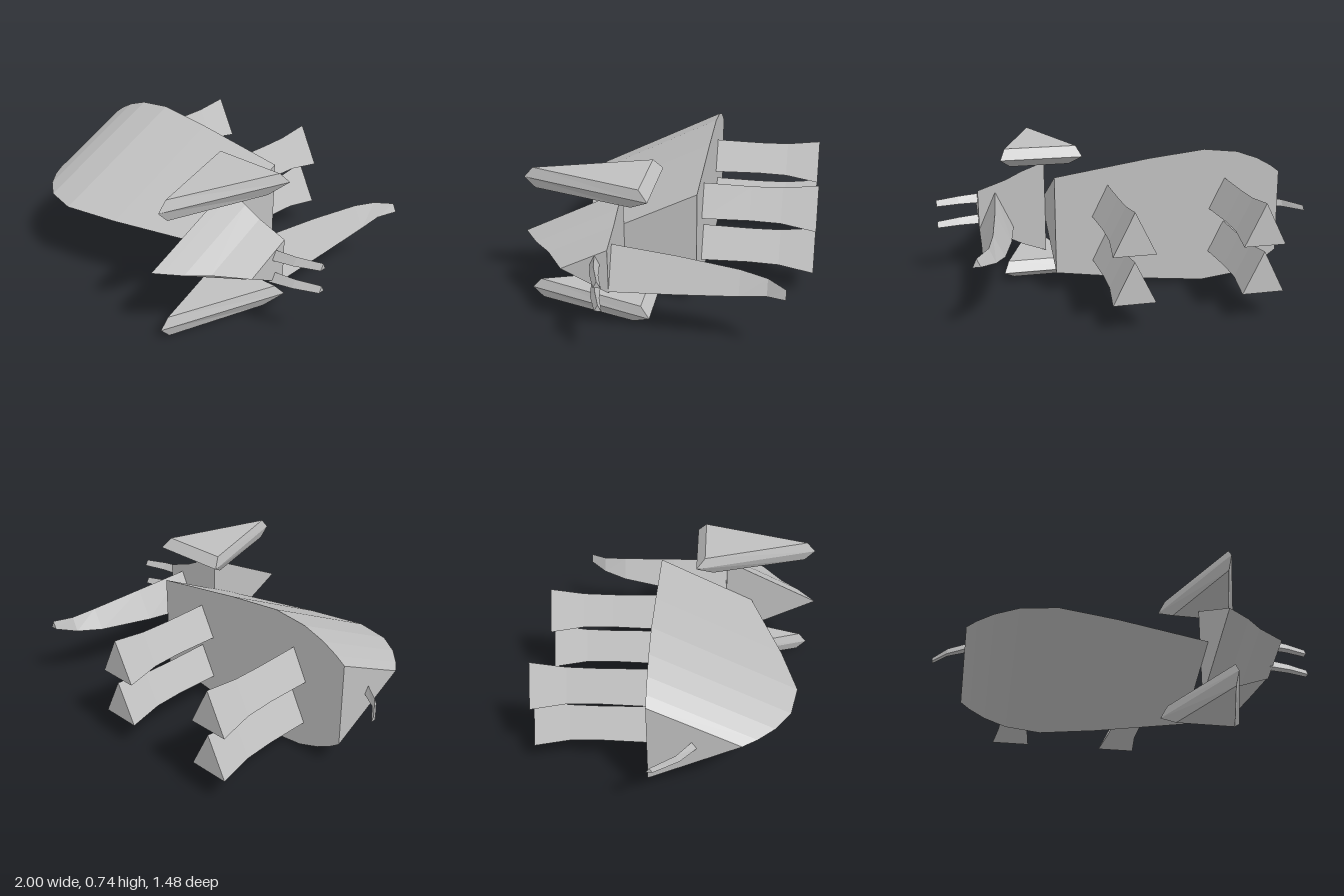
import * as THREE from 'three';

const MID = 0.374; // height of the symmetry plane

// Joins a row of triangular sections into a closed, flat-faced solid.
function loft(sections) {
  const pos = [];
  const tri = (a, b, c) => pos.push([a, b, c]);
  for (let i = 0; i < sections.length - 1; i++) {
    const p = sections[i], q = sections[i + 1];
    for (let j = 0; j < 3; j++) {
      const k = (j + 1) % 3;
      tri(p[j], p[k], q[k]);
      tri(p[j], q[k], q[j]);
    }
  }
  const first = sections[0], last = sections[sections.length - 1];
  tri(first[2], first[1], first[0]);
  tri(last[0], last[1], last[2]);

  // Turn every face outward using the sign of the enclosed volume
  const v = (p) => new THREE.Vector3(...p);
  const volume = pos.reduce((s, [a, b, c]) => s + v(a).dot(v(b).cross(v(c))), 0);
  const flat = pos.flatMap(([a, b, c]) => (volume < 0 ? [a, c, b] : [a, b, c])).flat();
  const geometry = new THREE.BufferGeometry();
  geometry.setAttribute('position', new THREE.Float32BufferAttribute(flat, 3));
  geometry.computeVertexNormals();
  return geometry;
}

// Triangle standing across x: its back edge is upright, its point faces +z
const wedge = (x, half, back) => [
  [x, MID - half, back], [x, MID + half, back], [x, MID, back + 2 * half],
];
// Triangle across z with its ridge on top
const acrossZ = (z, left, right, bottom, top, ridge = (left + right) / 2) => [
  [left, bottom, z], [right, bottom, z], [ridge, top, z],
];
// Triangle across x with its ridge on top
const acrossX = (x, z0, z1, bottom, top) => [
  [x, bottom, z0], [x, bottom, z1], [x, top, (z0 + z1) / 2],
];

export function createModel() {
  const group = new THREE.Group();
  const grey = new THREE.MeshStandardMaterial({ color: 0xc0c0c0, flatShading: true });
  grey.name = 'grey';
  const add = (name, sections) => {
    const mesh = new THREE.Mesh(loft(sections), grey);
    mesh.name = name;
    group.add(mesh);
    return mesh;
  };

  // Humped body
  add('body', [
    [-0.83, 0.225], [-0.78, 0.262], [-0.7, 0.306], [-0.585, 0.347],
    [-0.4, 0.368], [-0.1, 0.335], [0.405, 0.26],
  ].map(([x, h]) => wedge(x, h, -0.15)));

  // Head, tapering to the face
  add('head', [
    [0.405, 0.257], [0.445, 0.243], [0.53, 0.212], [0.62, 0.168], [0.775, 0.115],
  ].map(([x, h]) => wedge(x, h, 0.222)));

  // Four flared legs
  for (const [x, end] of [[-0.52, 'back'], [0.125, 'front']]) {
    for (const [y, side] of [[0.495, 'Upper'], [0.253, 'Lower']]) {
      add(`${end}${side}Leg`, [
        [-0.15, 0.084], [-0.4, 0.08], [-0.56, 0.083], [-0.742, 0.106],
      ].map(([z, r]) => acrossZ(z, x - r, x + r, y - r, y + r)));
    }
  }

  // Bevelled triangular ears
  const earLayer = (y, half, back, front) => [
    [0.44 - half, y, back], [0.44 + half, y, back], [0.44, y, front],
  ];
  for (const [y, name] of [[0.69, 'upperEar'], [0.058, 'lowerEar']]) {
    add(name, [
      earLayer(y - 0.056, 0.16, 0.143, 0.66),
      earLayer(y, 0.22, 0.05, 0.715),
      earLayer(y + 0.053, 0.192, 0.097, 0.668),
    ]);
  }

  // Trunk curving sideways to a narrow tip
  add('trunk', [
    acrossZ(0.222, 0.585, 0.775, 0.267, 0.475, 0.68),
    acrossZ(-0.1, 0.63, 0.787, 0.287, 0.453, 0.71),
    acrossZ(-0.4, 0.692, 0.802, 0.314, 0.427, 0.748),
    acrossZ(-0.53, 0.748, 0.812, 0.332, 0.409, 0.78),
    acrossZ(-0.618, 0.825, 0.865, 0.35, 0.393, 0.845),
  ]);

  // Pair of tusks
  for (const [y, name] of [[0.435, 'upperTusk'], [0.314, 'lowerTusk']]) {
    add(name, [
      acrossX(0.76, 0.262, 0.31, y - 0.024, y + 0.024),
      acrossX(0.88, 0.24, 0.283, y - 0.02, y + 0.02),
      acrossX(1.0, 0.2, 0.235, y - 0.016, y + 0.016),
    ]);
  }

  // Bent tail
  add('tail', [
    acrossX(-0.82, 0.045, 0.095, 0.354, 0.394),
    acrossX(-0.92, -0.025, 0.01, 0.356, 0.392),
    acrossX(-1.0, -0.142, -0.11, 0.36, 0.386),
  ]);

  return group;
}
